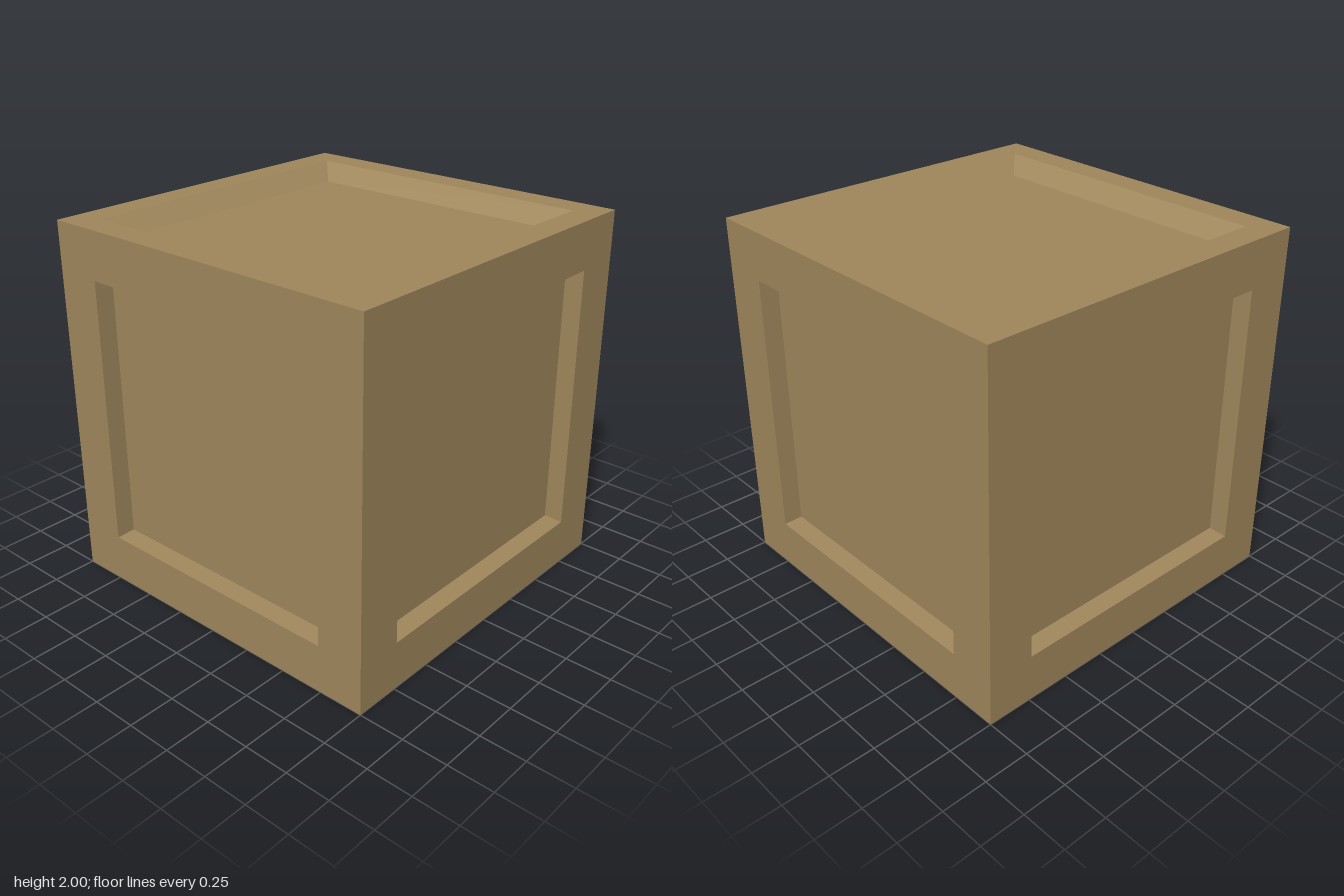
import * as THREE from 'three';

const wood = new THREE.MeshStandardMaterial({ color: 0xa0875c, side: THREE.DoubleSide });
wood.name = 'brownWood';

// Four corners of a square, counter-clockwise seen from +z
const square = (half, z) =>
  [[-1, -1], [1, -1], [1, 1], [-1, 1]].map(([x, y]) => [x * half, y * half, z]);

function flatMesh(name, quads) {
  const points = quads.flatMap(([a, b, c, d]) => [a, b, c, a, c, d]).flat();
  const geometry = new THREE.BufferGeometry();
  geometry.setAttribute('position', new THREE.Float32BufferAttribute(points, 3));
  geometry.computeVertexNormals();
  const mesh = new THREE.Mesh(geometry, wood);
  mesh.name = name;
  return mesh;
}

// Mitred band of four quads from an outer square to an inner one
const band = (outer, inner) => outer.map((p, i) => {
  const j = (i + 1) % 4;
  return [p, outer[j], inner[j], inner[i]];
});

// One wall facing +z: flat frame, sloped recess and sunken panel
function recessedWall(name, opening, panel, depth) {
  const edge = square(1, 1);
  const rim = square(opening, 1);
  const floor = square(panel, 1 - depth);
  const wall = new THREE.Group();
  wall.name = name;
  wall.add(
    flatMesh('frame', band(edge, rim)),
    flatMesh('recessSlopes', band(rim, floor)),
    flatMesh('panel', [floor]),
  );
  return wall;
}

export function createModel() {
  const crate = new THREE.Group();
  crate.name = 'crate';

  // Four thin side walls; the underside stays open
  ['frontWall', 'leftWall', 'backWall', 'rightWall'].forEach((name, i) => {
    const wall = recessedWall(name, 0.737, 0.727, 0.1);
    wall.rotation.y = i * Math.PI / 2;
    wall.position.y = 1;
    crate.add(wall);
  });

  // Top with a wider recess and gentler slopes
  const top = recessedWall('top', 0.845, 0.745, 0.09);
  top.rotation.x = -Math.PI / 2;
  top.position.y = 1;
  crate.add(top);

  return crate;
}
